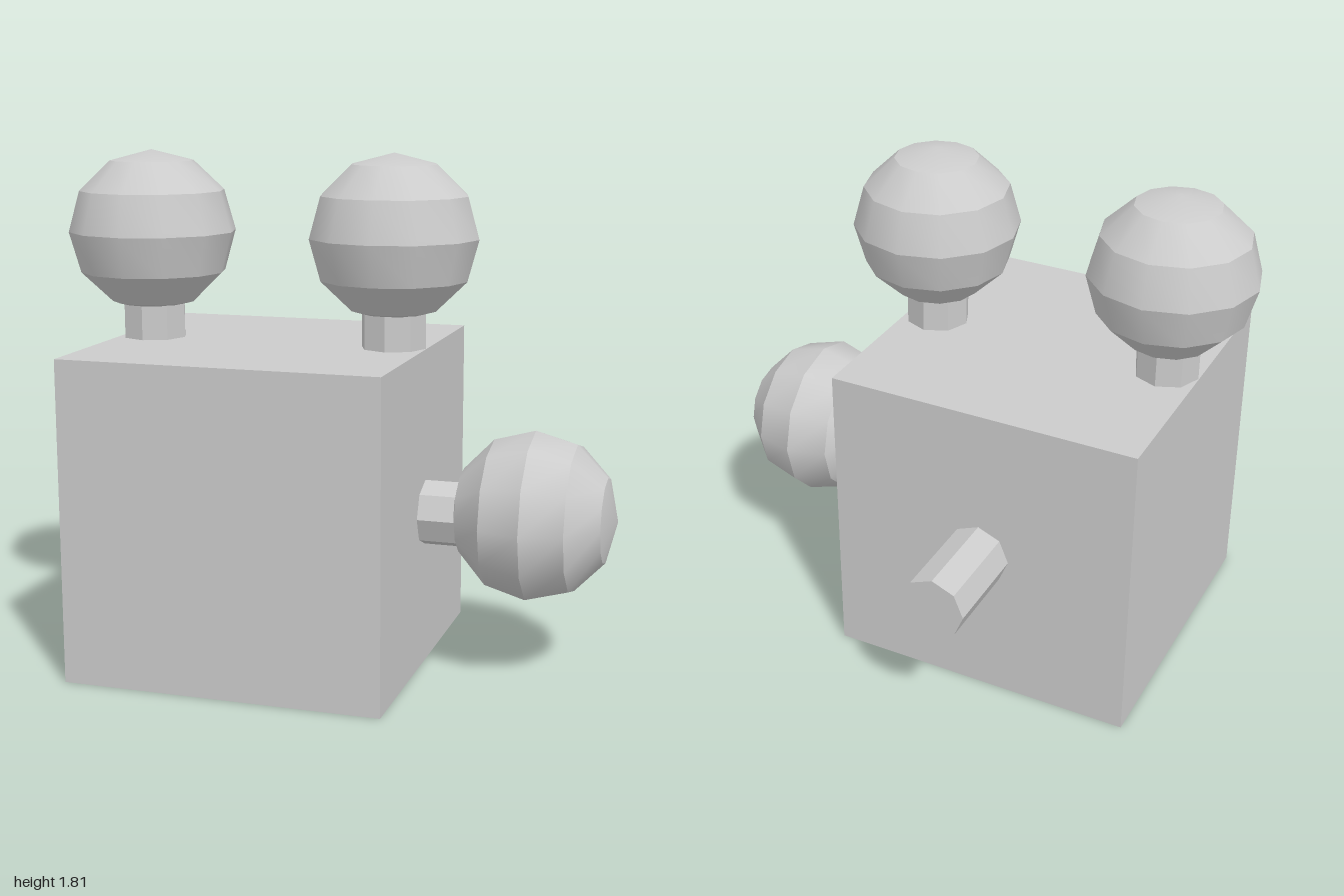
import * as THREE from 'three';
import { toCreasedNormals } from 'three/addons/utils/BufferGeometryUtils.js';

const SIZE = 1.137;                          // cube edge
const CENTER = new THREE.Vector3(-0.25, SIZE / 2, 0.172);

export function createModel() {
  const model = new THREE.Group();
  const smooth = new THREE.MeshStandardMaterial({ color: 0xcccccc });
  const flat = new THREE.MeshStandardMaterial({ color: 0xcccccc, flatShading: true });

  // Twelve-sided ball: smooth around its axis, creased between the bands
  const ball = new THREE.SphereGeometry(0.3, 12, 6);
  ball.scale(1, Math.cos(Math.PI / 12), 1);
  const ballGeometry = toCreasedNormals(ball, THREE.MathUtils.degToRad(29.5));

  const add = (parent, name, geometry, material, x, y, z) => {
    const mesh = new THREE.Mesh(geometry, material);
    mesh.name = name;
    mesh.position.set(x, y, z);
    parent.add(mesh);
    return mesh;
  };

  // Octagonal peg running along +y from the origin
  const peg = (parent, name, length) =>
    add(parent, name, new THREE.CylinderGeometry(0.116, 0.116, length, 8), flat, 0, length / 2, 0);

  // Cube body
  add(model, 'body', new THREE.BoxGeometry(SIZE, SIZE, SIZE), flat, CENTER.x, CENTER.y, CENTER.z);

  // Two knobs standing on the top face
  for (const [name, x] of [['topRightKnob', -0.7], ['topLeftKnob', 0.2]]) {
    const knob = new THREE.Group();
    knob.name = name;
    knob.position.set(x, SIZE, CENTER.z);
    peg(knob, 'stem', 0.15);
    add(knob, 'ball', ballGeometry, smooth, 0, 0.382, 0);
    model.add(knob);
  }

  // Knob on the left face, its stem sitting slightly below the ball's centre
  const sideKnob = new THREE.Group();
  sideKnob.name = 'sideKnob';
  sideKnob.position.set(CENTER.x + SIZE / 2, 0.572, CENTER.z);
  sideKnob.rotation.z = -Math.PI / 2;
  peg(sideKnob, 'stem', 0.15).position.x = 0.018;
  add(sideKnob, 'ball', ballGeometry, smooth, 0, 0.39, 0);
  model.add(sideKnob);

  // Bare peg on the back face
  const backPeg = new THREE.Group();
  backPeg.name = 'backPeg';
  backPeg.position.set(CENTER.x, 0.572, CENTER.z - SIZE / 2);
  backPeg.rotation.x = -Math.PI / 2;
  peg(backPeg, 'peg', 0.345);
  model.add(backPeg);

  return model;
}
